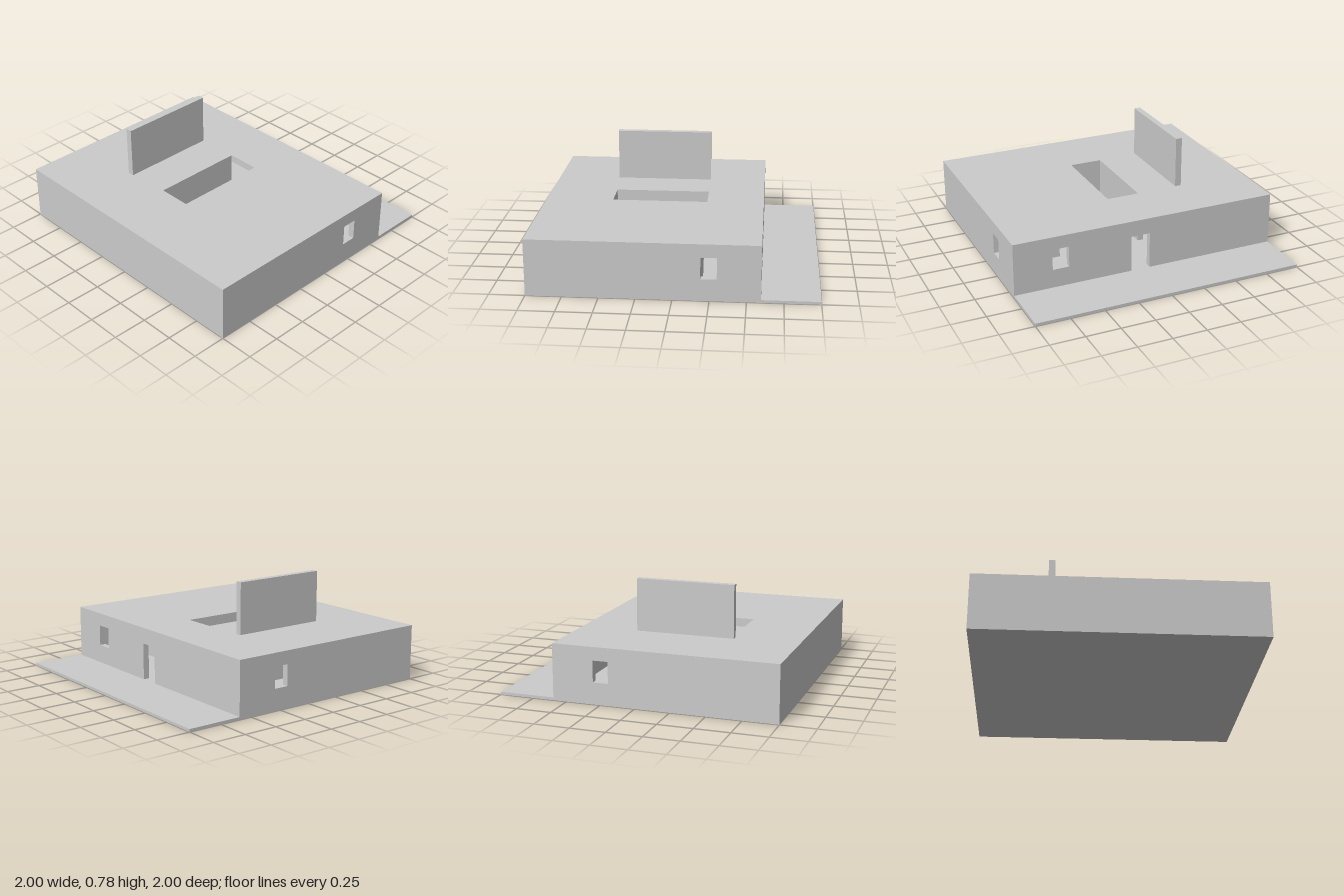
import * as THREE from 'three';

const FLOOR = 0.02, CEIL = 0.395, ROOF = 0.405, T = 0.045;
const material = new THREE.MeshStandardMaterial({ color: 0xcccccc, flatShading: true });

function add(parent, name, geometry) {
  const mesh = new THREE.Mesh(geometry, material);
  mesh.name = name;
  parent.add(mesh);
  return mesh;
}

// Box given by its two opposite corners
function block(parent, name, x0, x1, y0, y1, z0, z1) {
  const mesh = add(parent, name, new THREE.BoxGeometry(x1 - x0, y1 - y0, z1 - z0));
  mesh.position.set((x0 + x1) / 2, (y0 + y1) / 2, (z0 + z1) / 2);
  return mesh;
}

function rect(Type, u0, u1, v0, v1) {
  const s = new Type();
  s.moveTo(u0, v0);
  s.lineTo(u1, v0);
  s.lineTo(u1, v1);
  s.lineTo(u0, v1);
  s.closePath();
  return s;
}

// Flat panel with one rectangular opening
function panel(outer, hole, depth) {
  const shape = rect(THREE.Shape, ...outer);
  shape.holes.push(rect(THREE.Path, ...hole));
  return new THREE.ExtrudeGeometry(shape, { depth, bevelEnabled: false });
}

export function createModel() {
  const house = new THREE.Group();
  house.name = 'house';

  // Ground slab, extending past the house as a terrace
  block(house, 'floorSlab', -1, 1, 0, FLOOR, -1, 1);

  // Front and back walls with aligned windows
  for (const [name, z] of [['frontWall', 1 - T], ['backWall', -1]]) {
    add(house, name, panel([-1, 0.597, FLOOR, CEIL], [0.19, 0.3, 0.157, 0.31], T)).position.z = z;
  }

  // Terrace wall: shape u runs along -z, with a door notch and a window
  const side = new THREE.Shape();
  const outline = [[-1 + T, FLOOR], [-0.12, FLOOR], [-0.12, 0.288], [0.022, 0.288],
    [0.022, FLOOR], [1 - T, FLOOR], [1 - T, CEIL], [-1 + T, CEIL]];
  side.setFromPoints(outline.map(([u, v]) => new THREE.Vector2(u, v)));
  side.holes.push(rect(THREE.Path, -0.715, -0.593, 0.157, 0.31));
  const terraceWall = add(house, 'terraceWall',
    new THREE.ExtrudeGeometry(side, { depth: T, bevelEnabled: false }));
  terraceWall.rotation.y = Math.PI / 2;
  terraceWall.position.x = 0.597 - T;

  // Closed wall on the opposite side
  block(house, 'closedWall', -1, -1 + T, FLOOR, CEIL, -1 + T, 1 - T);

  // Roof with a long skylight opening
  const roof = add(house, 'roof', panel([-1, 0.597, -1, 1], [-0.51, 0.183, -0.118, 0.125], ROOF - CEIL));
  roof.rotation.x = -Math.PI / 2;
  roof.position.y = CEIL;

  // Rooms: hall walls under the skylight and partitions
  const rooms = new THREE.Group();
  rooms.name = 'partitions';
  house.add(rooms);
  block(rooms, 'hallBackWall', -0.51, 0.183, FLOOR, CEIL, -0.125 - T, -0.125);
  block(rooms, 'hallFrontWall', -0.51, 0.183, FLOOR, CEIL, 0.118, 0.118 + T);
  block(rooms, 'hallEndWall', -0.51 - T, -0.51, FLOOR, CEIL, -0.433, 0.118 + T);
  block(rooms, 'backRoomWall', -1 + T, -0.535, FLOOR, CEIL, -0.48, -0.433);
  block(rooms, 'frontRoomWall', 0.183 - T, 0.183, FLOOR, CEIL, 0.5, 1 - T);

  // Tall wall rising through the roof
  block(house, 'tallWall', -0.535, 0.178, FLOOR, 0.782, -0.48, -0.433);

  return house;
}
